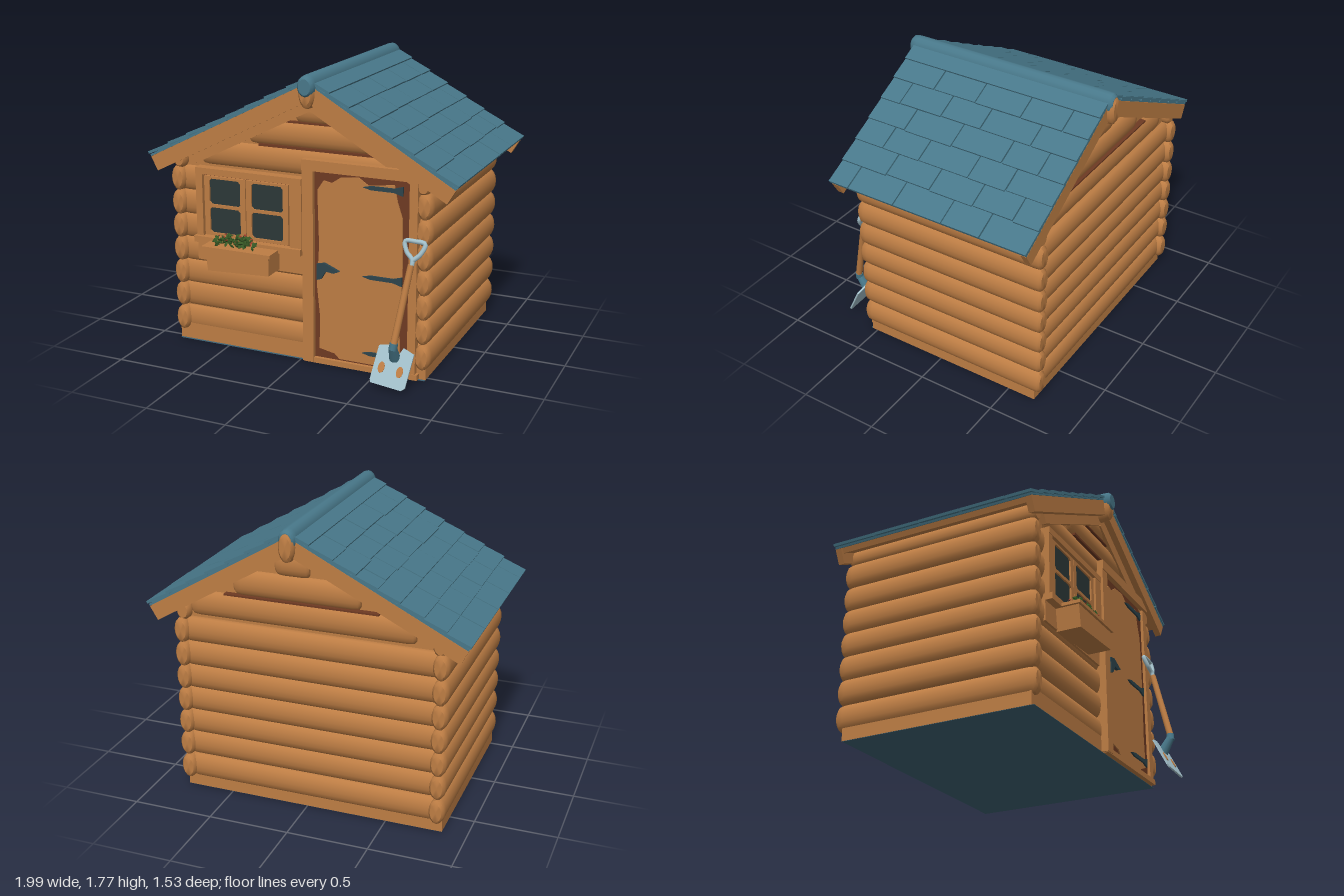
import * as THREE from 'three';
import { toCreasedNormals } from 'three/addons/utils/BufferGeometryUtils.js';

const mat = (name, color) => {
  const m = new THREE.MeshStandardMaterial({ color });
  m.name = name;
  return m;
};

export function createModel() {
  const wood = mat('warm wood', 0xbd7d44);
  const darkWood = mat('dark wood', 0x6e3a22);
  const slate = mat('blue shingle', 0x48788a);
  const floorBlue = mat('floor blue', 0x3e6273);
  const iron = mat('dark iron', 0x2d444c);
  const glass = mat('window glass', 0x2c3838);
  const steel = mat('pale steel', 0xa3c0ca);
  const leaf = mat('leaf green', 0x385a26);
  const petal = mat('petal red', 0x9c3a2a);

  const model = new THREE.Group();
  model.name = 'logCabin';
  let seed = 7;
  const rnd = () => (seed = (seed * 16807) % 2147483647) / 2147483647;

  const add = (name, geo, material, parent = model) => {
    const m = new THREE.Mesh(geo, material);
    m.name = name;
    parent.add(m);
    return m;
  };
  // Box given by its limits
  const box = (name, material, x0, x1, y0, y1, z0, z1, parent) => {
    const m = add(name, new THREE.BoxGeometry(x1 - x0, y1 - y0, z1 - z0), material, parent);
    m.position.set((x0 + x1) / 2, (y0 + y1) / 2, (z0 + z1) / 2);
    return m;
  };
  const shapeOf = pts => new THREE.Shape(pts.map(p => new THREE.Vector2(...p)));
  const plate = (name, material, shape, z0, z1, parent) => {
    const m = add(name, new THREE.ExtrudeGeometry(shape, { depth: z1 - z0, bevelEnabled: false, curveSegments: 8 }), material, parent);
    m.position.z = z0;
    return m;
  };
  // Oval log with softened ends; lies along x or z
  const log = (name, axis, a, b, u, y, thick, tall, material = wood) => {
    const h = (b - a) / 2;
    const pts = [[0, -h], [0.7, -h], [0.94, -h + 0.015], [1, -h + 0.05], [1, h - 0.05], [0.94, h - 0.015], [0.7, h], [0, h]];
    const g = new THREE.LatheGeometry(pts.map(p => new THREE.Vector2(...p)), 16);
    g.scale(thick, 1, tall).rotateX(Math.PI / 2);
    if (axis === 'x') g.rotateY(Math.PI / 2);
    const m = add(name, toCreasedNormals(g, 0.7), material);
    if (axis === 'x') m.position.set((a + b) / 2, y, u);
    else m.position.set(u, y, (a + b) / 2);
    return m;
  };
  // Rod between two points
  const rod = (name, material, p, q, r0, r1, parent) => {
    const a = new THREE.Vector3(...p), d = new THREE.Vector3(...q).sub(a);
    const m = add(name, new THREE.CylinderGeometry(r1, r0, d.length(), 10), material, parent);
    m.position.copy(a).addScaledVector(d, 0.5);
    m.quaternion.setFromUnitVectors(new THREE.Vector3(0, 1, 0), d.normalize());
    return m;
  };

  // Floor, base and solid core behind the logs
  box('floor', floorBlue, -0.848, 0.798, 0, 0.002, -0.678, 0.548);
  box('base', wood, -0.85, 0.8, 0.002, 0.13, -0.68, 0.535);
  plate('wallCore', wood, shapeOf([[-0.81, 0.1], [0.77, 0.1], [0.77, 1.24], [0.08, 1.66], [-0.81, 1.24]]), -0.66, 0.51);

  // Log walls
  const rows = [0.145, 0.305, 0.455, 0.605, 0.755, 0.905, 1.06];
  for (const y of rows) {
    for (const x of [-0.82, 0.78]) log('sideLog', 'z', -0.725, 0.565, x, y, 0.05, 0.083);
    log('frontLog', 'x', -0.82, 0.78, 0.505, y, 0.035, 0.08);
    log('backLog', 'x', -0.82, 0.78, -0.66, y, 0.045, 0.08);
  }
  for (const x of [-0.81, 0.77]) log('topPlate', 'z', -0.71, 0.56, x, 1.18, 0.045, 0.06);
  for (const y of [1.235, 1.395, 1.545]) {
    const h = 1.66 - y - 0.06;
    for (const z of [0.505, -0.66]) log('gableLog', 'x', 0.08 - h / 0.49, 0.08 + h / 0.57, z, y, 0.04, 0.078);
  }
  // Dark seams between the gable logs
  box('gableSeam', darkWood, -0.27, 0.5, 1.31, 1.325, 0.5, 0.537);
  box('gableSeam', darkWood, -0.09, 0.25, 1.466, 1.476, 0.5, 0.537);
  box('gableSeam', darkWood, -0.45, 0.5, 1.312, 1.322, -0.697, -0.65);

  // Roof: boards, underlay and staggered shingles on each slope
  const ridge = [0.08, 1.735], eaveX = 0.985, eaveY = 1.2;
  for (const s of [1, -1]) {
    const run = Math.abs(s * eaveX - ridge[0]), drop = ridge[1] - eaveY, len = Math.hypot(run, drop);
    const roof = new THREE.Group();
    roof.name = s > 0 ? 'leftRoof' : 'rightRoof';
    roof.position.set(ridge[0], ridge[1], -0.06);
    roof.rotation.set(0, s > 0 ? 0 : Math.PI, -Math.atan2(drop, run));
    model.add(roof);
    box('roofBoards', wood, 0, len - 0.02, -0.045, -0.012, -0.655, 0.655, roof);
    box('underlay', slate, 0, len - 0.005, -0.012, 0.001, -0.665, 0.665, roof);
    const n = s > 0 ? 7 : 8, step = len / n;
    for (let i = 0; i < n; i++) {
      // The top row is one unbroken flap beside the ridge
      let z = -0.67, w = i === 0 ? 1.34 : i % 2 ? 0.17 : 0.3;
      while (z < 0.66) {
        let end = Math.min(z + w, 0.67);
        if (0.67 - end < 0.1) end = 0.67;
        const low = (i + 1) * step - (i < n - 1 ? rnd() * 0.012 : 0);
        const tile = box('shingle', slate, i * step - 0.02, low, 0, 0.016, z, end - (end < 0.67 ? 0.008 : 0), roof);
        tile.position.y = 0.008 + rnd() * 0.003;
        tile.rotation.z = 0.07;
        z = end;
        w = 0.19 + rnd() * 0.16;
      }
    }
    // Gable boards, outer and recessed inner, front and back
    const nx = -s * drop / len, ny = -run / len;
    const board = (t, inset) => {
      const k = 1 - inset, ex = ridge[0] + s * (run - 0.01) * k, ey = 1.72 - (drop - 0.005) * k;
      return shapeOf([[0.08, 1.72], [ex, ey], [ex + nx * t, ey + ny * t], [0.08, 1.72 - t * len / run]]);
    };
    for (const z of [0.565, -0.725]) plate('gableBoard', wood, board(0.095, 0), z, z + 0.04);
    plate('innerGableBoard', wood, board(0.15, 0.2), 0.52, 0.555);
  }
  log('ridgeLog', 'z', -0.762, 0.635, 0.08, 1.665, 0.05, 0.095);
  log('ridgeCap', 'z', -0.752, 0.645, 0.08, 1.703, 0.054, 0.067, slate);

  // Door with frame, worn facing, hinges and handle
  box('doorPostInner', wood, 0.03, 0.1, 0.01, 1.21, 0.5, 0.58);
  box('doorPostOuter', wood, 0.695, 0.745, 0.03, 1.21, 0.5, 0.57);
  box('doorHeader', wood, 0.03, 0.745, 1.205, 1.27, 0.5, 0.585);
  box('threshold', wood, 0.04, 0.76, 0.006, 0.04, 0.5, 0.575);
  box('door', darkWood, 0.1, 0.695, 0.04, 1.205, 0.5, 0.552);
  plate('doorFacing', wood, shapeOf([[0.13, 0.1], [0.23, 0.08], [0.26, 0.05], [0.55, 0.05], [0.65, 0.09], [0.64, 0.3], [0.655, 0.62],
    [0.65, 0.98], [0.62, 1.07], [0.6, 1.17], [0.44, 1.15], [0.38, 1.19], [0.27, 1.18], [0.21, 1.14], [0.16, 1.15], [0.12, 1.09],
    [0.13, 0.75], [0.115, 0.5], [0.135, 0.3]]), 0.551, 0.559);
  for (const y of [0.12, 0.6, 1.14]) {
    plate('hinge', iron, shapeOf([[0.655, y - 0.028], [0.655, y + 0.028], [0.6, y + 0.012], [0.46, y + 0.012], [0.41, y], [0.46, y - 0.012], [0.6, y - 0.012]]), 0.558, 0.57);
  }
  plate('doorHandle', iron, shapeOf([[0.12, 0.54], [0.15, 0.55], [0.18, 0.6], [0.23, 0.595], [0.265, 0.61], [0.23, 0.625], [0.17, 0.65], [0.12, 0.64]]), 0.558, 0.578);

  // Window: backing, frame, two sashes with two panes each
  box('windowBacking', darkWood, -0.68, 0.01, 0.69, 1.13, 0.5, 0.542);
  box('windowTop', wood, -0.69, 0.02, 1.105, 1.145, 0.5, 0.572);
  box('windowSill', wood, -0.7, 0.02, 0.675, 0.715, 0.5, 0.59);
  box('windowSide', wood, -0.69, -0.645, 0.7, 1.12, 0.5, 0.568);
  box('windowSide', wood, -0.058, 0.02, 0.7, 1.12, 0.5, 0.568);
  box('windowApron', wood, -0.7, 0.02, 0.55, 0.68, 0.5, 0.545);
  for (const x of [-0.635, -0.35]) {
    const sash = shapeOf([[x, 0.722], [x + 0.28, 0.722], [x + 0.28, 1.095], [x, 1.095]]);
    for (const y of [0.74, 0.92]) {
      const x0 = x + 0.035, x1 = x + 0.245, y1 = y + 0.16, c = 0.015;
      sash.holes.push(new THREE.Path([[x0 + c, y], [x1 - c, y], [x1, y + c], [x1, y1 - c], [x1 - c, y1], [x0 + c, y1], [x0, y1 - c], [x0, y + c]]
        .map(p => new THREE.Vector2(...p))));
      box('windowPane', glass, x0 - 0.005, x1 + 0.005, y - 0.005, y1 + 0.005, 0.541, 0.549);
    }
    plate('windowSash', wood, sash, 0.54, 0.56);
  }

  // Flower box
  plate('flowerBox', wood, shapeOf([[-0.55, 0.54], [-0.57, 0.68], [-0.14, 0.68], [-0.14, 0.56]]), 0.54, 0.69);
  box('flowerBoxRim', wood, -0.585, -0.125, 0.675, 0.695, 0.54, 0.705);
  const plants = new THREE.Group();
  plants.name = 'flowers';
  model.add(plants);
  for (let i = 0; i < 100; i++) {
    const flower = i % 10 === 0;
    const m = add(flower ? 'blossom' : 'leaf', new THREE.OctahedronGeometry(flower ? 0.012 : 0.021), flower ? petal : leaf, plants);
    m.position.set(-0.515 + rnd() * 0.265, 0.702 + rnd() * 0.05 + (flower ? 0.02 : 0), 0.6 + rnd() * 0.075);
    m.rotation.set(rnd() * 3, rnd() * 3, rnd() * 3);
    m.scale.set(1, 0.4, 0.75);
  }

  // Shovel leaning on the wall
  const shovel = new THREE.Group();
  shovel.name = 'shovel';
  model.add(shovel);
  rod('shaft', wood, [0.67, 0.27, 0.73], [0.725, 0.73, 0.61], 0.021, 0.019, shovel);
  rod('socket', slate, [0.667, 0.25, 0.728], [0.673, 0.29, 0.725], 0.025, 0.024, shovel);
  rod('socketNeck', slate, [0.66, 0.175, 0.675], [0.667, 0.265, 0.728], 0.034, 0.024, shovel);
  const gripPts = [[0.725, 0.7, 0.617], [0.73, 0.755, 0.602], [0.69, 0.8, 0.59], [0.675, 0.855, 0.572], [0.735, 0.86, 0.57], [0.795, 0.85, 0.572], [0.775, 0.795, 0.59], [0.733, 0.755, 0.602]];
  const gripCurve = new THREE.CatmullRomCurve3(gripPts.map(p => new THREE.Vector3(...p)));
  add('grip', new THREE.TubeGeometry(gripCurve, 40, 0.014, 8), steel, shovel);
  // Blade with two worn patches on its face
  const scoop = new THREE.Group();
  scoop.name = 'scoop';
  scoop.position.set(0.655, 0.13, 0.7);
  scoop.rotation.set(-0.48, 0, -0.1);
  shovel.add(scoop);
  plate('blade', steel, shapeOf([[-0.1, -0.12], [0.09, -0.12], [0.11, -0.1], [0.11, 0.1], [0.04, 0.12], [0.02, 0.07], [-0.02, 0.07], [-0.04, 0.12], [-0.11, 0.1], [-0.11, -0.1]]), 0, 0.01, scoop);
  for (const x of [-0.06, 0.055]) plate('wornPatch', wood, new THREE.Shape().absellipse(x, -0.02, 0.02, 0.033, 0, Math.PI * 2), 0.009, 0.013, scoop);

  return model;
}
